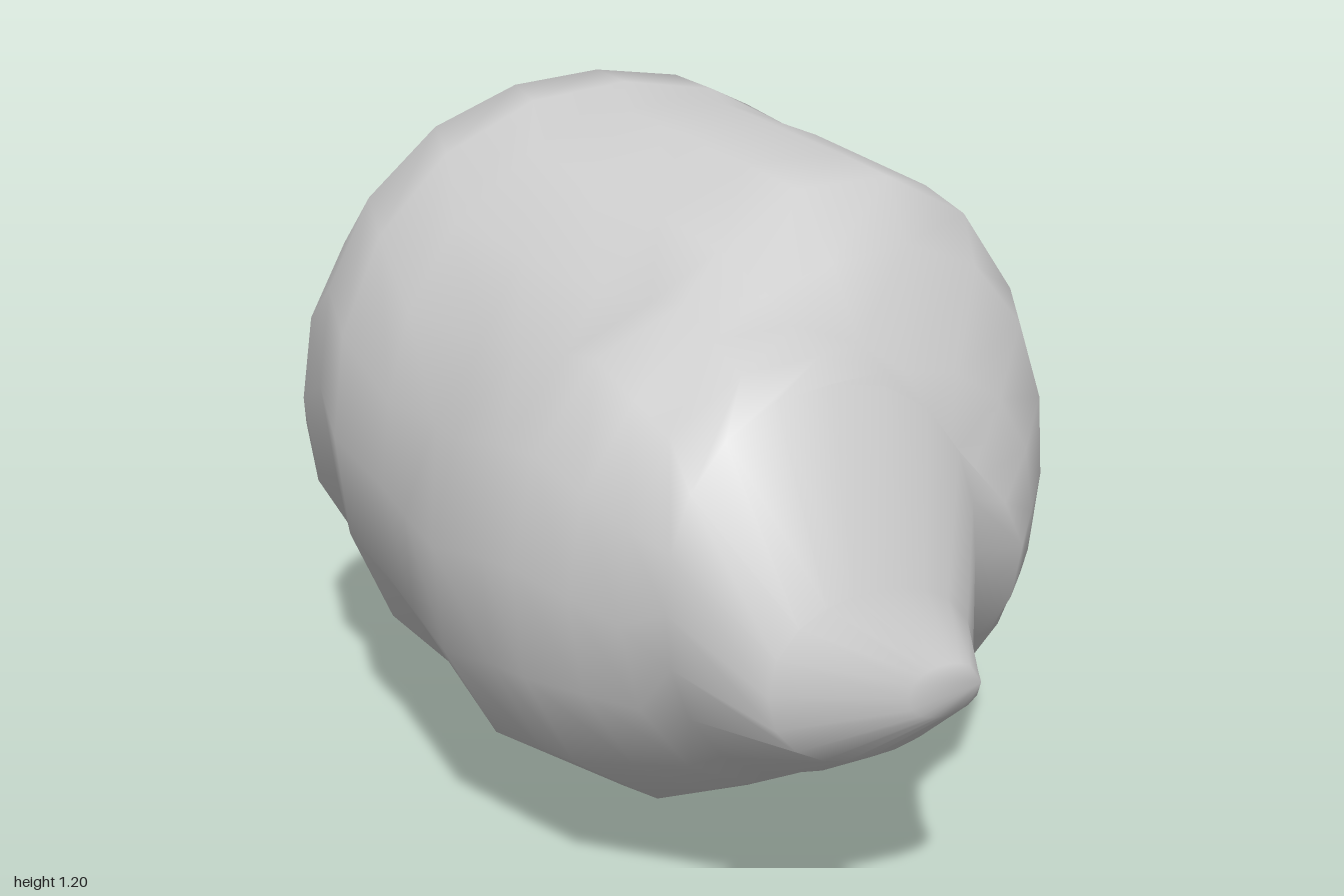
import * as THREE from 'three';

const { lerp } = THREE.MathUtils;

// Outlines from front to back: z, xMin, xMax, yMin, yMax
const BODY = [
  [0.75, -0.12, 0.27, 0.36, 0.65],
  [0.58, -0.22, 0.44, 0.18, 1.0],
  [0.5, -0.3, 0.48, 0.08, 1.1],
  [0.37, -0.4, 0.55, 0.02, 1.12],
  [0.04, -0.54, 0.58, 0.01, 1.17],
  [-0.13, -0.57, 0.6, 0.0, 1.19],
  [-0.25, -0.55, 0.59, 0.12, 1.2],
  [-0.4, -0.53, 0.45, 0.14, 1.06],
  [-0.62, -0.45, 0.35, 0.13, 0.84],
  [-0.78, -0.25, 0.3, 0.25, 0.79],
  [-0.96, -0.13, 0.18, 0.39, 0.63],
  [-1.0, -0.01, 0.09, 0.42, 0.49],
];
const LOBE = [
  [1.0, -0.13, 0.0, 0.39, 0.47],
  [0.94, -0.33, 0.03, 0.32, 0.58],
  [0.82, -0.43, 0.12, 0.25, 0.86],
  [0.58, -0.56, 0.18, 0.12, 0.95],
  [0.37, -0.6, 0.15, 0.1, 0.92],
  [0.04, -0.56, 0.06, 0.2, 0.74],
];
const SLICES = [1, 0.94, 0.82, 0.75, 0.67, 0.58, 0.5, 0.37, 0.2, 0.04,
  -0.13, -0.25, -0.4, -0.62, -0.78, -0.88, -0.96, -1];
const SIDES = 20;
const ROUNDNESS = 2.15;

// Slightly squared ellipse at depth z: centre and radii, or nothing beyond the ends
function outlineAt(rows, z) {
  const i = rows.findIndex((row, n) => n > 0 && z <= rows[n - 1][0] && z >= row[0]);
  if (i < 0) return [];
  const a = rows[i - 1], b = rows[i];
  const t = (a[0] - z) / (a[0] - b[0]);
  const [x0, x1, y0, y1] = [1, 2, 3, 4].map((n) => lerp(a[n], b[n], t));
  return [{ x: (x0 + x1) / 2, y: (y0 + y1) / 2, rx: (x1 - x0) / 2, ry: (y1 - y0) / 2 }];
}

// Distance from the pole to the edge of one outline
function reach(o, px, py, dx, dy) {
  let low = 0, high = 1.5;
  for (let i = 0; i < 24; i++) {
    const mid = (low + high) / 2;
    const u = Math.abs((px + dx * mid - o.x) / o.rx);
    const v = Math.abs((py + dy * mid - o.y) / o.ry);
    if (u ** ROUNDNESS + v ** ROUNDNESS < 1) low = mid;
    else high = mid;
  }
  return low;
}

function createRockGeometry() {
  const positions = [];
  const indices = [];
  // Each ring follows the outer edge of body and lobe together
  for (const z of SLICES) {
    const outlines = [...outlineAt(BODY, z), ...outlineAt(LOBE, z)];
    const first = outlines[0], second = outlines[outlines.length - 1];
    const px = lerp(first.x, second.x, 0.35);
    const py = lerp(first.y, second.y, 0.35);
    for (let j = 0; j < SIDES; j++) {
      const a = (j / SIDES) * Math.PI * 2;
      const dx = Math.cos(a), dy = Math.sin(a);
      const r = Math.max(...outlines.map((o) => reach(o, px, py, dx, dy)));
      positions.push(px + dx * r, py + dy * r, z);
    }
  }
  // Skin between neighbouring rings
  for (let i = 0; i < SLICES.length - 1; i++) {
    for (let j = 0; j < SIDES; j++) {
      const a = i * SIDES + j, b = i * SIDES + ((j + 1) % SIDES);
      const c = a + SIDES, d = b + SIDES;
      indices.push(a, c, b, b, c, d);
    }
  }
  // Closed tips
  const last = (SLICES.length - 1) * SIDES;
  for (let j = 1; j < SIDES - 1; j++) {
    indices.push(0, j, j + 1, last, last + j + 1, last + j);
  }
  const geometry = new THREE.BufferGeometry();
  geometry.setAttribute('position', new THREE.Float32BufferAttribute(positions, 3));
  geometry.setIndex(indices);
  geometry.computeVertexNormals();
  return geometry;
}

export function createModel() {
  const group = new THREE.Group();
  const rock = new THREE.Mesh(
    createRockGeometry(),
    new THREE.MeshStandardMaterial({ color: 0xcccccc })
  );
  rock.name = 'rock';
  group.add(rock);
  return group;
}
